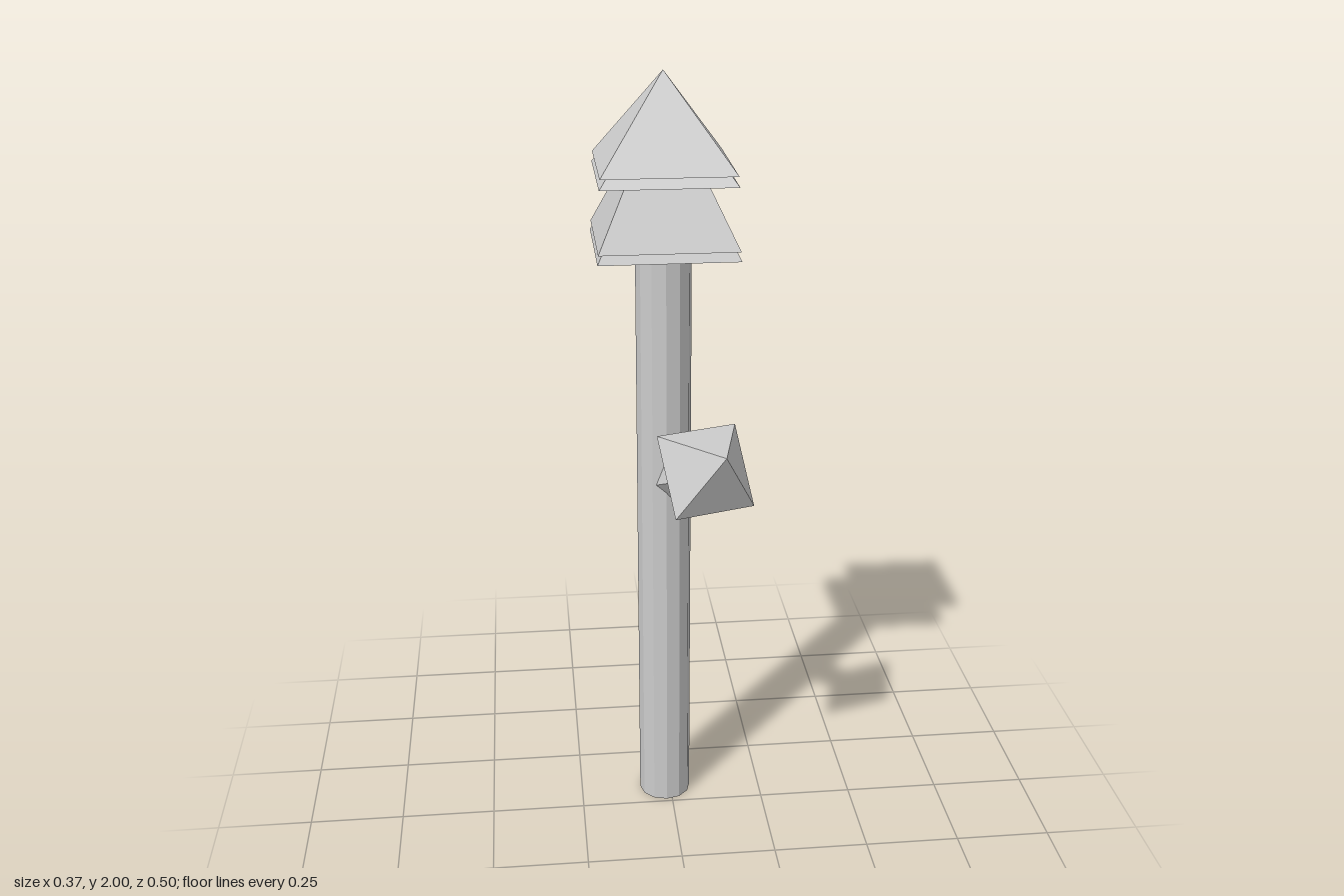
import * as THREE from 'three';

const material = new THREE.MeshStandardMaterial({ color: 0xcccccc, flatShading: true, side: THREE.DoubleSide });
const UP = new THREE.Vector3(0, 1, 0);

function part(name, geometry) {
  const mesh = new THREE.Mesh(geometry, material);
  mesh.name = name;
  return mesh;
}

// Square pyramid with sides along x and z, its base at y
function pyramid(name, half, y, height) {
  const geometry = new THREE.ConeGeometry(half * Math.SQRT2, height, 4);
  geometry.rotateY(Math.PI / 4);
  geometry.translate(0, y + height / 2, 0);
  return part(name, geometry);
}

export function createModel() {
  const model = new THREE.Group();
  model.name = 'tree';

  // Upright trunk, open at the foot, with the stacked crown on top
  const main = new THREE.Group();
  main.name = 'mainTree';
  main.position.set(-0.015, 0, -0.08);
  const trunk = part('trunk', new THREE.CylinderGeometry(0.07, 0.07, 1.6, 12, 1, true));
  trunk.position.y = 0.8;
  main.add(trunk);

  // Two tiers, each made of a pair of pyramids set slightly apart
  const tiers = [
    [0.171, 1.58, 0.35],
    [0.169, 1.603, 0.35],
    [0.164, 1.755, 0.22],
    [0.162, 1.78, 0.22],
  ];
  tiers.forEach(([half, y, height], i) => main.add(pyramid(`crownLayer${i + 1}`, half, y, height)));
  model.add(main);

  // Tapered side branch leaning forward, up and to the left
  const start = new THREE.Vector3(0.008, 0.975, -0.04);
  const end = new THREE.Vector3(0.066, 1.058, 0.137);
  const along = end.clone().sub(start);
  const branch = part('branch', new THREE.CylinderGeometry(0.038, 0.055, along.length(), 6));
  branch.position.copy(start).add(end).multiplyScalar(0.5);
  branch.quaternion.setFromUnitVectors(UP, along.normalize());
  model.add(branch);

  // Small pyramid of leaves at the branch tip, set by its axis and one base corner
  const centre = new THREE.Vector3(0.0675, 1.067, 0.138);
  const axis = new THREE.Vector3(0.036, 0.08, 0.113);
  const height = axis.length();
  axis.normalize();
  const corner = new THREE.Vector3(0.118, -0.088, 0.024);
  const radius = corner.length();
  corner.addScaledVector(axis, -corner.dot(axis)).normalize();
  const leaves = part('branchLeaves', new THREE.ConeGeometry(radius, height, 4));
  const side = new THREE.Vector3().crossVectors(corner, axis).negate();
  leaves.quaternion.setFromRotationMatrix(new THREE.Matrix4().makeBasis(side.negate(), axis, corner.clone().negate()).premultiply(new THREE.Matrix4()));
  leaves.quaternion.setFromRotationMatrix(
    new THREE.Matrix4().makeBasis(new THREE.Vector3().crossVectors(axis, corner), axis, corner));
  leaves.position.copy(centre).addScaledVector(axis, height / 2);
  model.add(leaves);

  return model;
}
